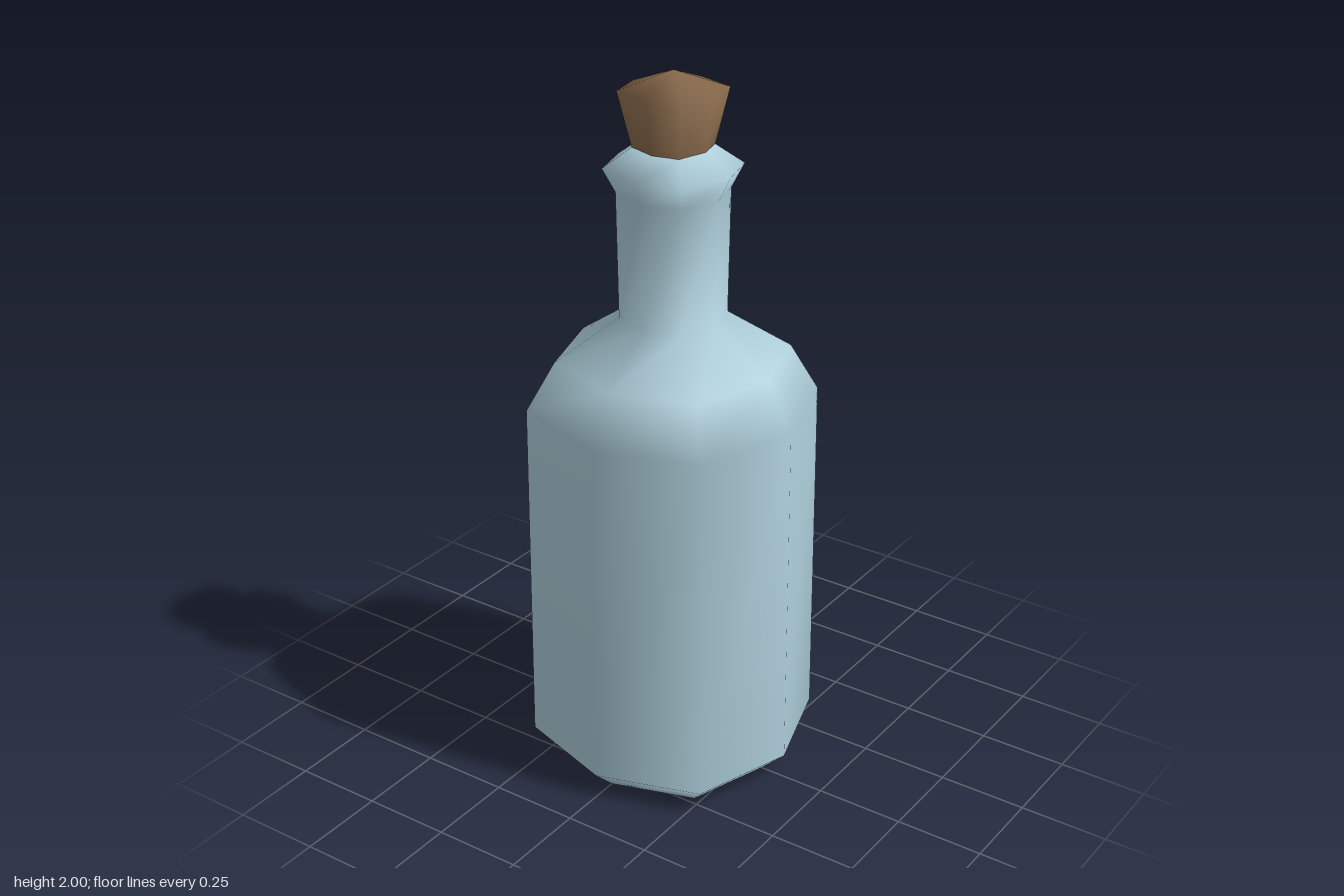
import * as THREE from 'three';
import { mergeVertices } from 'three/addons/utils/BufferGeometryUtils.js';

const SIDES = 8;

// Smooth eight-sided loft. Each ring is [radius, y, diagonalScale, diagonalTwist]:
// the four diagonal corners are pushed out and twisted a little for a hand-made look.
function loft(rings) {
  const positions = [];
  const index = [];
  rings.forEach(([r, y, scale = 1.07, twist = 0]) => {
    for (let i = 0; i < SIDES; i++) {
      const diagonal = i % 2 === 1;
      const angle = (i / SIDES) * Math.PI * 2 + (diagonal ? twist : 0);
      const radius = diagonal ? r * scale : r;
      positions.push(Math.cos(angle) * radius, y, Math.sin(angle) * radius);
    }
  });
  for (let j = 0; j < rings.length - 1; j++) {
    for (let i = 0; i < SIDES; i++) {
      const a = j * SIDES + i;
      const b = j * SIDES + ((i + 1) % SIDES);
      const c = a + SIDES;
      const d = b + SIDES;
      // Rings of radius 0 close the ends with a fan
      if (rings[j][0] > 0) index.push(a, c, b);
      if (rings[j + 1][0] > 0) index.push(b, c, d);
    }
  }
  const geometry = new THREE.BufferGeometry();
  geometry.setAttribute('position', new THREE.Float32BufferAttribute(positions, 3));
  geometry.setIndex(index);
  const merged = mergeVertices(geometry, 1e-5);
  merged.computeVertexNormals();
  return merged;
}

export function createModel() {
  const group = new THREE.Group();
  group.name = 'corkedBottle';

  const glass = new THREE.MeshStandardMaterial({ color: 0xafd0dc });
  glass.name = 'paleBlueGlass';
  const corkBrown = new THREE.MeshStandardMaterial({ color: 0x8a6b4c });
  corkBrown.name = 'corkBrown';

  // Bottle: bevelled base, straight body, shoulder, neck and flared lip
  const bottle = new THREE.Mesh(loft([
    [0, 0],
    [0.305, 0],
    [0.378, 0.07],
    [0.373, 1.08],
    [0.3, 1.215],
    [0.136, 1.33, 1.07, 0.03],
    [0.141, 1.68, 1.07, 0.058],
    [0.173, 1.745, 1.07, 0.058],
    [0.1, 1.8, 1.07, 0.058],
    [0, 1.8],
  ]), glass);
  bottle.name = 'bottle';

  // Cork: tapered stopper with a shallow peak
  const cork = new THREE.Mesh(loft([
    [0.096, 1.79, 1.1, 0.054],
    [0.126, 1.95, 1.155, 0.054],
    [0, 2],
  ]), corkBrown);
  cork.name = 'cork';

  group.add(bottle, cork);
  return group;
}
